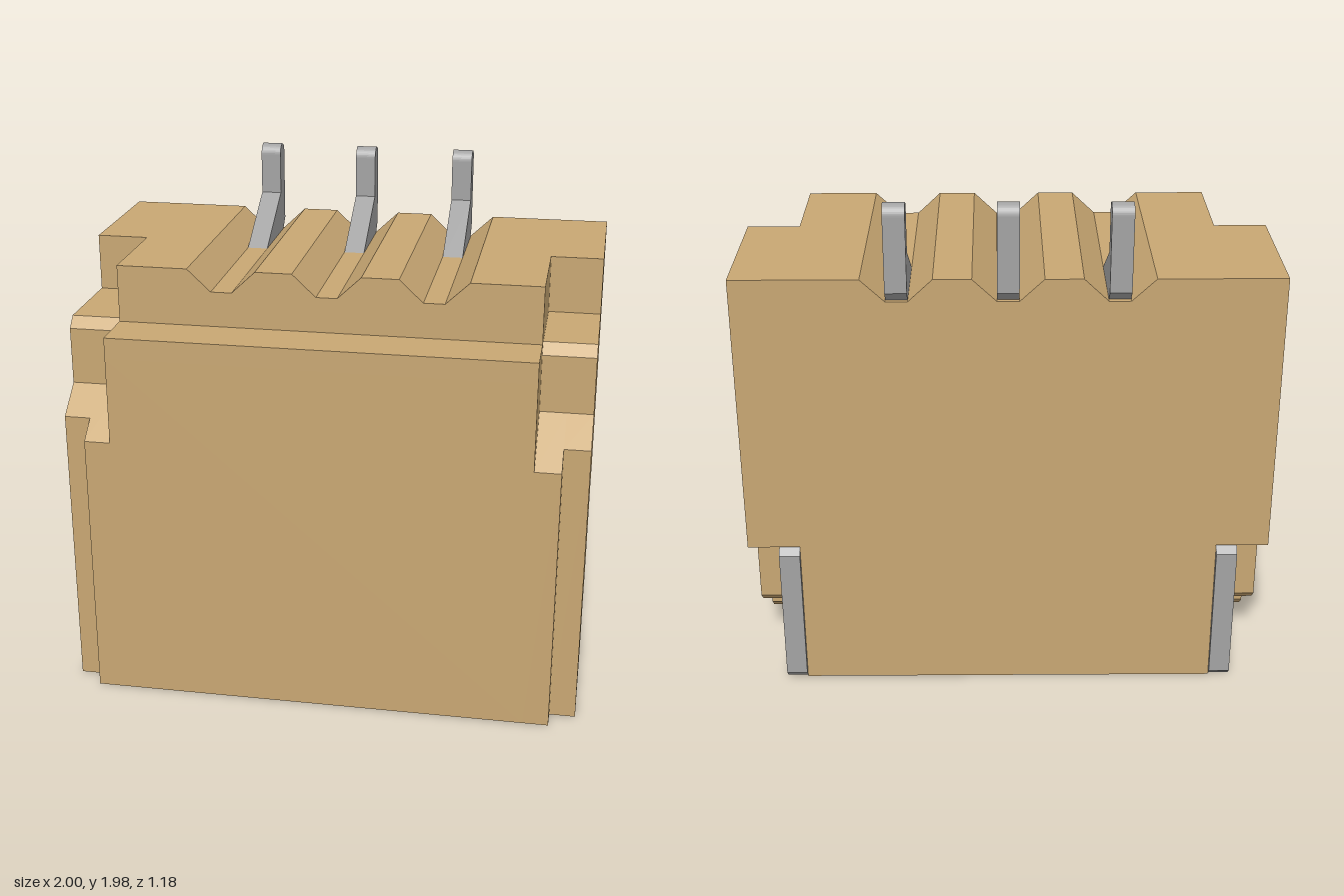
import * as THREE from 'three';

const plastic = new THREE.MeshStandardMaterial({ color: 0xc8a773 });
plastic.name = 'tan plastic';
const metal = new THREE.MeshStandardMaterial({ color: 0xa3a3a3 });
metal.name = 'grey metal';

const toShape = (pts) => new THREE.Shape(pts.map(([a, b]) => new THREE.Vector2(a, b)));

// Extrude a (z, y) profile between two x positions
function slab(name, shape, x0, x1, material) {
  const geo = new THREE.ExtrudeGeometry(shape, { depth: x1 - x0, bevelEnabled: false, curveSegments: 10 });
  geo.rotateY(-Math.PI / 2).translate(x1, 0, 0);
  const mesh = new THREE.Mesh(geo, material);
  mesh.name = name;
  return mesh;
}

// Side wall profile with the stepped shoulder in front and the tab pocket at the back
function sideProfile(front, frontTop) {
  return toShape([
    [-0.05, 0], [front, 0], [front, frontTop], [0.39, 1.22], [0.39, 1.44], [0.35, 1.48],
    [-0.01, 1.48], [-0.01, 1.7], [-0.57, 1.7], [-0.57, 0.6], [-0.35, 0.6], [-0.35, 0.24],
    [-0.31, 0.2], [-0.09, 0.2], [-0.09, 0.04],
  ]);
}

export function createModel() {
  const model = new THREE.Group();
  model.name = 'pinHeader';
  const pinX = [-0.4, 0, 0.4];
  const ceiling = 1.4;

  // Hollow lower housing, open underneath (shape y is -z)
  const ring = toShape([[-0.8, -0.59], [0.8, -0.59], [0.8, 0.57], [-0.8, 0.57]]);
  ring.holes.push(new THREE.Path([
    [-0.69, -0.41], [-0.69, -0.22], [-0.79, -0.22], [-0.79, 0.37],
    [0.79, 0.37], [0.79, -0.22], [0.69, -0.22], [0.69, -0.41],
  ].map(([a, b]) => new THREE.Vector2(a, b))));
  const lowerGeo = new THREE.ExtrudeGeometry(ring, { depth: ceiling, bevelEnabled: false });
  lowerGeo.rotateX(-Math.PI / 2);
  const lower = new THREE.Mesh(lowerGeo, plastic);
  lower.name = 'hollowHousing';
  model.add(lower);

  // Roof with a tapered groove for each pin
  const roofPts = [[0.8, ceiling], [0.8, 1.7]];
  for (const x of [...pinX].reverse()) {
    roofPts.push([x + 0.13, 1.7], [x + 0.04, 1.615], [x - 0.04, 1.615], [x - 0.13, 1.7]);
  }
  roofPts.push([-0.8, 1.7], [-0.8, ceiling]);
  const roofGeo = new THREE.ExtrudeGeometry(toShape(roofPts), { depth: 0.96, bevelEnabled: false });
  roofGeo.translate(0, 0, -0.57);
  const roof = new THREE.Mesh(roofGeo, plastic);
  roof.name = 'groovedRoof';
  model.add(roof);

  // Ledge in front of the roof
  const ledge = new THREE.Mesh(new THREE.BoxGeometry(1.6, 1.48 - ceiling, 0.2), plastic);
  ledge.name = 'frontLedge';
  ledge.position.set(0, (1.48 + ceiling) / 2, 0.49);
  model.add(ledge);

  // L-shaped solder tab with clipped corners
  const tabShape = toShape([
    [-0.56, 0], [-0.13, 0], [-0.09, 0.04], [-0.09, 0.2], [-0.35, 0.2],
    [-0.35, 0.6], [-0.56, 0.6], [-0.59, 0.57], [-0.59, 0.03],
  ]);

  // Side walls and solder tabs, mirrored
  for (const [side, s] of [['left', 1], ['right', -1]]) {
    const add = (name, shape, a, b, mat) =>
      model.add(slab(side + name, shape, Math.min(s * a, s * b), Math.max(s * a, s * b), mat));
    add('InnerSideWall', sideProfile(0.59, 1.06), 0.8, 0.9, plastic);
    add('OuterSideWall', sideProfile(0.51, 1.124), 0.9, 1, plastic);
    add('SolderTab', tabShape, 0.8, 0.88, metal);
  }

  // Pin with a rounded tip and sloping foot
  const pinShape = new THREE.Shape();
  pinShape.moveTo(-0.545, 1.61);
  pinShape.lineTo(-0.22, 1.61);
  pinShape.lineTo(-0.51, 1.78);
  pinShape.lineTo(-0.51, 1.94);
  pinShape.absarc(-0.55, 1.94, 0.04, 0, Math.PI, false);
  pinShape.lineTo(-0.59, 1.655);
  pinX.forEach((x) => {
    model.add(slab('solderPin', pinShape, x - 0.04, x + 0.04, metal));
    // Contact inside the cavity
    const contact = new THREE.Mesh(new THREE.BoxGeometry(0.08, 0.9, 0.08), metal);
    contact.name = 'innerContact';
    contact.position.set(x, 0.96, 0);
    model.add(contact);
  });

  return model;
}
